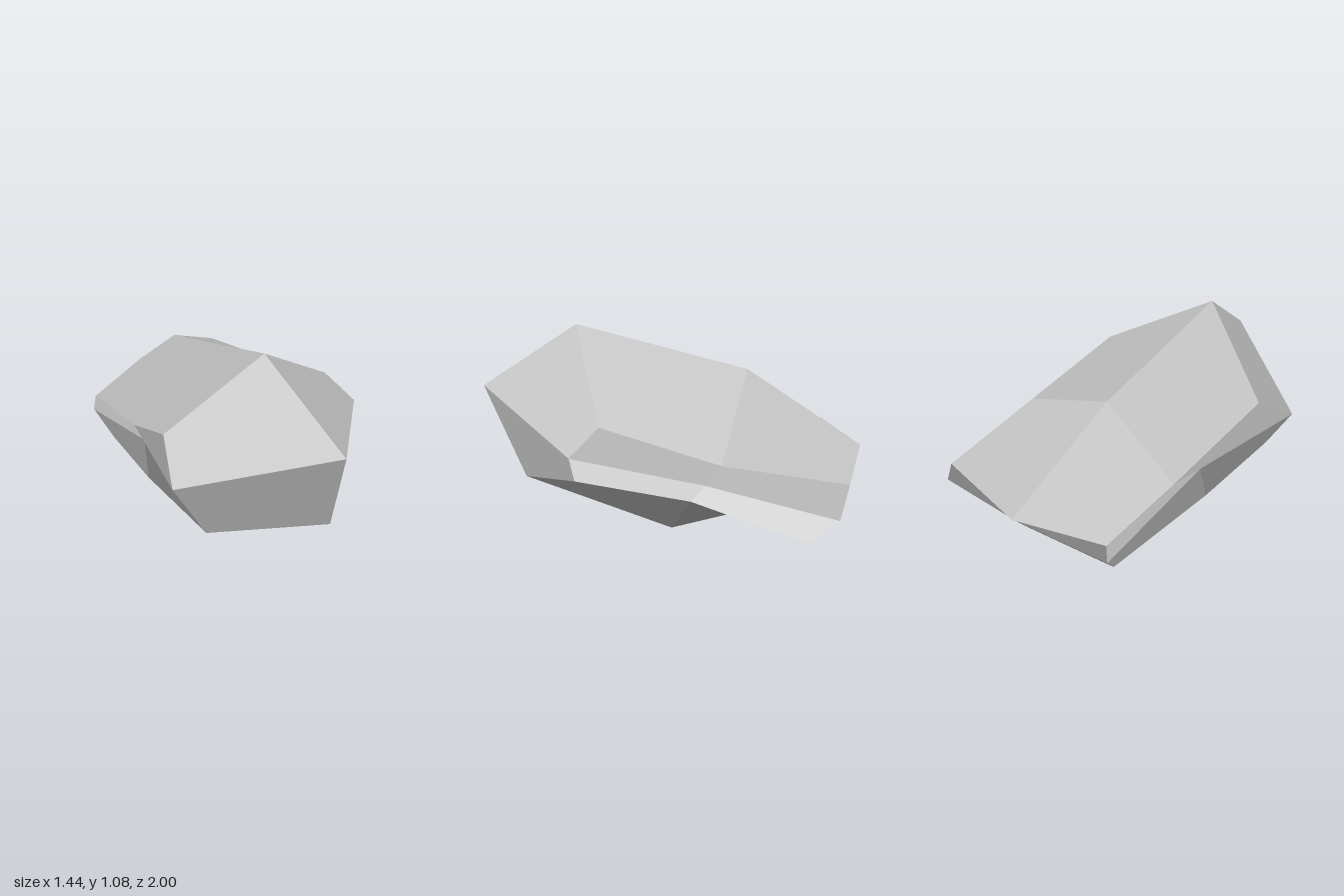
import * as THREE from 'three';

export function createModel() {
  const stone = new THREE.MeshStandardMaterial({ color: 0xc4c4c4 });
  stone.name = 'pale stone grey';

  const positions = [], normals = [];

  // One facet of four corners, shaded as a single flat face
  function quad(...corners) {
    const [p, q, r, s] = corners.map((c) => new THREE.Vector3(...c));
    const normal = r.clone().sub(p).cross(s.clone().sub(q)).normalize();
    for (const v of [p, q, r, p, r, s]) {
      positions.push(...v.toArray());
      normals.push(...normal.toArray());
    }
  }

  // Cross-sections from front to back, each clockwise from the top ridge
  const sections = [
    [[-0.2, 1.08, 0.48], [0.37, 0.79, 0.37], [0.44, 0.66, 0.52], [0.435, 0.52, 0.5],
      [-0.04, 0.23, 0.8], [-0.57, 0.26, 0.48], [-0.72, 0.53, 0.42], [-0.59, 0.69, 0.2]],
    [[-0.01, 0.885, -0.41], [0.54, 0.655, -0.22], [0.47, 0.49, -0.15], [0.57, 0.47, -0.07],
      [0.18, 0, 0], [-0.44, 0.26, -0.13], [-0.42, 0.46, -0.18], [-0.35, 0.46, -0.36]],
    [[0.19, 0.52, -1], [0.64, 0.59, -0.83], [0.72, 0.435, -0.78], [0.715, 0.295, -0.64],
      [0.27, 0.265, -0.76], [-0.21, 0.185, -0.76], [-0.25, 0.34, -0.9], [-0.24, 0.43, -0.885]],
  ];
  const [front, middle, back] = sections;
  const n = front.length;

  // Facets along the sides
  for (const [a, b] of [[front, middle], [middle, back]]) {
    for (let i = 0; i < n; i++) {
      const j = (i + 1) % n;
      quad(a[i], a[j], b[j], b[i]);
    }
  }

  // Pointed front and blunt back, four facets each
  const frontTip = [-0.2, 0.73, 1];
  const backTip = [0.25, 0.4, -0.88];
  for (let i = 0; i < n; i += 2) {
    const k = (i + 2) % n;
    quad(frontTip, front[k], front[i + 1], front[i]);
    quad(backTip, back[i], back[i + 1], back[k]);
  }

  const geometry = new THREE.BufferGeometry();
  geometry.setAttribute('position', new THREE.Float32BufferAttribute(positions, 3));
  geometry.setAttribute('normal', new THREE.Float32BufferAttribute(normals, 3));

  const rock = new THREE.Mesh(geometry, stone);
  rock.name = 'rock';
  const group = new THREE.Group();
  group.name = 'boulder';
  group.add(rock);
  return group;
}
